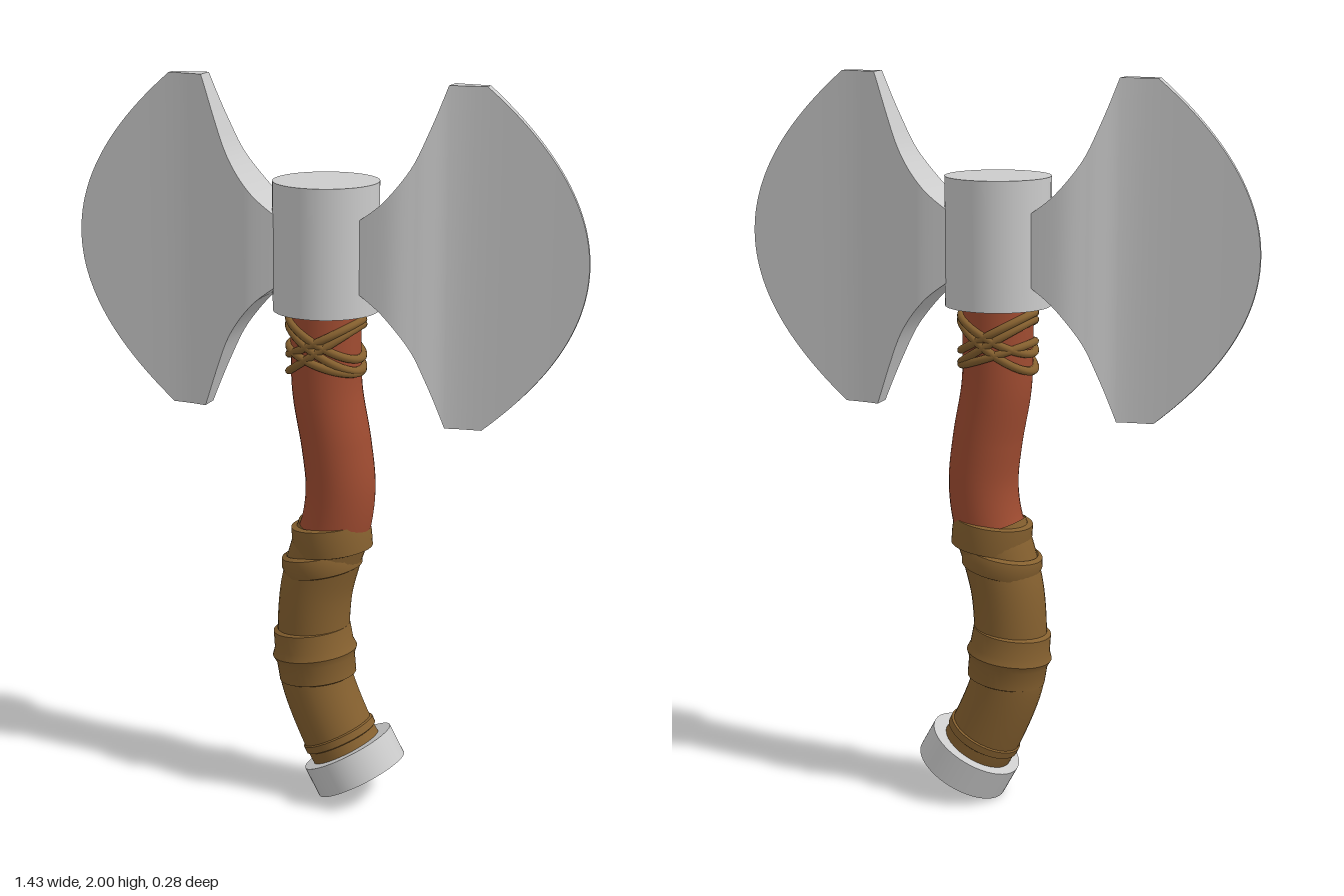
import * as THREE from 'three';
import { toCreasedNormals } from 'three/addons/utils/BufferGeometryUtils.js';

const metal = new THREE.MeshStandardMaterial({ color: 0xcccccc });
const wood = new THREE.MeshStandardMaterial({ color: 0xa04c31 });
const leather = new THREE.MeshStandardMaterial({ color: 0x85602f, side: THREE.DoubleSide });

// Centre line of the crooked handle, top to bottom (x, y)
const path = [[0, 1.45], [0, 1.3], [0.004, 1.17], [0.03, 1.02], [0.042, 0.9], [0.03, 0.8], [-0.003, 0.7],
  [-0.028, 0.6], [-0.037, 0.46], [-0.03, 0.35], [0.043, 0.17], [0.08, 0.11]];

function tube(points, radius) {
  const curve = new THREE.CatmullRomCurve3(points.map(([x, y]) => new THREE.Vector3(x, y, 0)));
  return new THREE.TubeGeometry(curve, 64, radius, 32);
}

// Blade on the +x side: rectangular cross-sections [x, half height, half thickness] joined along x
function bladeGeometry() {
  const midY = 1.55;
  const inner = new THREE.SplineCurve([[0.118, 0.097], [0.185, 0.15], [0.252, 0.235], [0.296, 0.33], [0.342, 0.45]]
    .map(p => new THREE.Vector2(...p)));
  const thickness = new THREE.SplineCurve([[0.1, 0.075], [0.2, 0.075], [0.27, 0.055], [0.34, 0.028], [0.42, 0.016],
    [0.56, 0.009], [0.73, 0.004]].map(p => new THREE.Vector2(...p))).getPoints(120);
  const halfThickness = x => {
    const i = Math.max(1, thickness.findIndex(p => p.x >= x));
    const a = thickness[i - 1], b = thickness[i];
    return THREE.MathUtils.mapLinear(x, a.x, b.x, a.y, b.y);
  };
  const columns = inner.getPoints(28).map(p => [p.x, p.y]);
  columns.push([0.375, 0.45], [0.41, 0.45]);
  for (let i = 0; i <= 32; i++) {
    const t = 1 - i / 32;
    columns.push([0.44 + 0.275 * (1 - t * t), 0.45 * t]);
  }
  const positions = [], index = [];
  columns.forEach(([x, h], i) => {
    const z = halfThickness(x);
    positions.push(x, midY + h, z, x, midY + h, -z, x, midY - h, -z, x, midY - h, z);
    if (i === 0) return;
    for (let k = 0; k < 4; k++) {
      const a = (i - 1) * 4 + k, b = (i - 1) * 4 + (k + 1) % 4;
      index.push(a, a + 4, b + 4, a, b + 4, b);
    }
  });
  index.push(0, 1, 2, 0, 2, 3);
  const geometry = new THREE.BufferGeometry();
  geometry.setAttribute('position', new THREE.Float32BufferAttribute(positions, 3));
  geometry.setIndex(index);
  return toCreasedNormals(geometry, 0.5);
}

export function createModel() {
  const model = new THREE.Group();
  const add = (name, geometry, material, x = 0, y = 0, tilt = 0) => {
    const mesh = new THREE.Mesh(geometry, material);
    mesh.name = name;
    mesh.position.set(x, y, 0);
    mesh.rotation.z = tilt;
    model.add(mesh);
    return mesh;
  };

  // Head socket and the two mirrored blades
  add('headSocket', new THREE.CylinderGeometry(0.142, 0.142, 0.345, 48), metal, 0, 1.5625);
  const blade = bladeGeometry();
  add('leftBlade', blade, metal);
  add('rightBlade', blade, metal).rotation.y = Math.PI;

  // Handle, grip wrap and pommel
  add('handle', tube(path, 0.095), wood);
  add('gripWrap', tube([[0.022, 0.775], ...path.slice(6)], 0.1), leather);
  add('pommel', new THREE.CylinderGeometry(0.133, 0.133, 0.088, 48), metal, 0.085, 0.105, 0.5);

  // Leather bands around the grip: profile is [radius, height]
  const band = (name, profile, x, y, tilt) => {
    const points = profile.map(p => new THREE.Vector2(...p));
    add(name, toCreasedNormals(new THREE.LatheGeometry(points, 40), 0.6), leather, x, y, tilt);
  };
  band('upperBand', [[0.092, -0.045], [0.108, -0.04], [0.11, 0], [0.108, 0.035], [0.092, 0.038]], 0.017, 0.762, 0.13);
  band('middleBand', [[0.095, -0.035], [0.107, -0.03], [0.113, 0], [0.108, 0.022], [0.095, 0.028]], -0.012, 0.69, 0.2);
  band('lowerBand', [[0.095, -0.078], [0.107, -0.072], [0.109, -0.02], [0.118, 0], [0.11, 0.02], [0.107, 0.07],
    [0.095, 0.076]], -0.033, 0.42, 0.13);
  band('bottomBand', [[0.095, -0.016], [0.105, -0.01], [0.105, 0.01], [0.095, 0.016]], 0.04, 0.178, 0.46);

  // Crossed cords under the head, stretched to hug the handle when tilted
  const cord = new THREE.TorusGeometry(0.098, 0.011, 10, 40).rotateX(Math.PI / 2);
  for (const [y, tilt] of [[1.285, 0.6], [1.292, -0.55], [1.315, 0.47], [1.318, -0.5], [1.26, -0.33]]) {
    add('cord', cord, leather, 0, y, tilt).scale.x = 1 / Math.cos(tilt);
  }
  return model;
}
